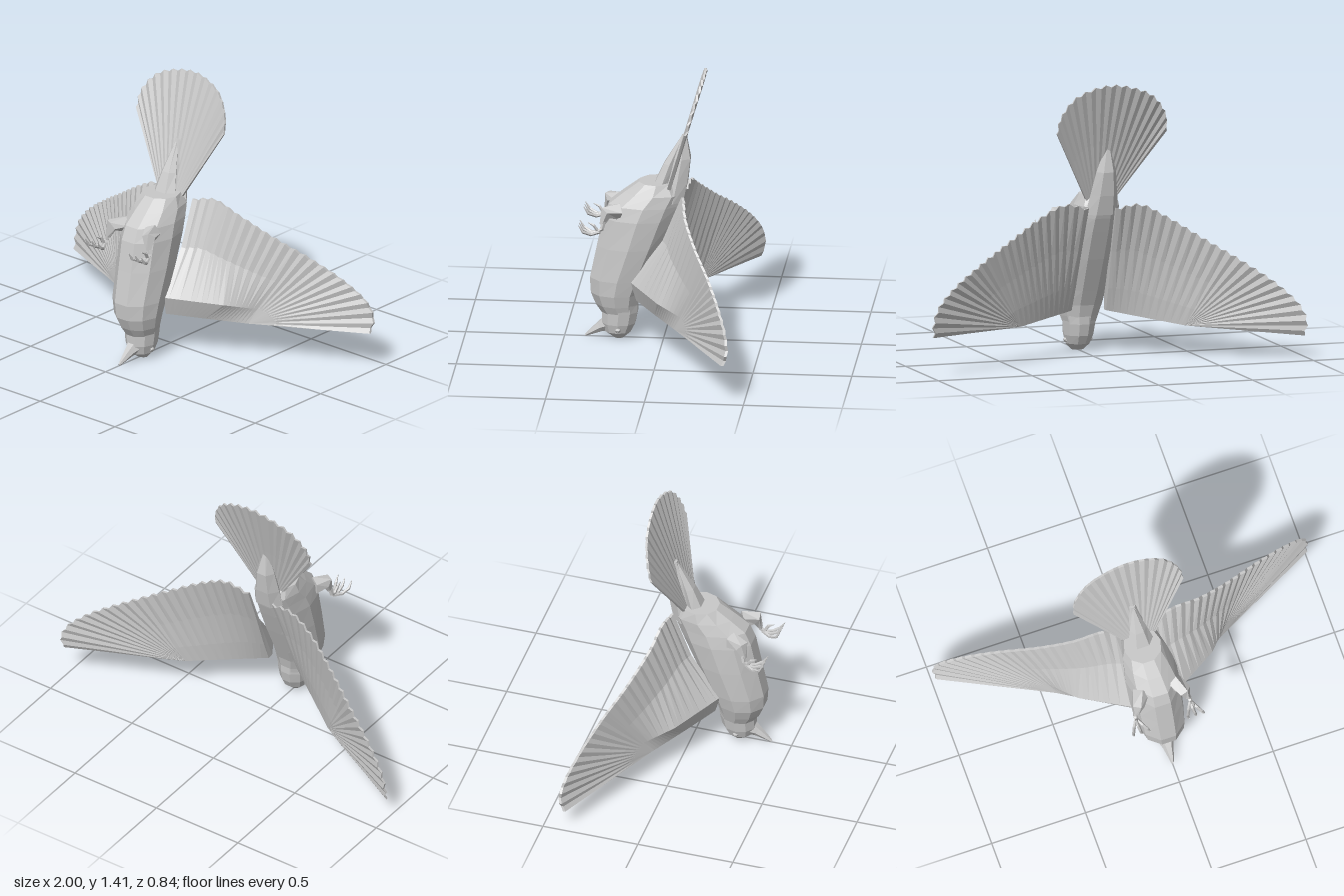
import * as THREE from 'three';

const V = (x, y, z) => new THREE.Vector3(x, y, z);
const plumage = new THREE.MeshStandardMaterial({ color: 0xc8c8c8 });
plumage.name = 'plumage grey';

// Closed faceted solid through rings of equal point count; winding is fixed by signed volume
function loft(name, rings) {
  const tris = [];
  const n = rings[0].length;
  for (let i = 0; i + 1 < rings.length; i++) {
    for (let j = 0; j < n; j++) {
      const k = (j + 1) % n;
      const a = rings[i][j], b = rings[i][k], c = rings[i + 1][k], d = rings[i + 1][j];
      tris.push([a, b, c], [a, c, d]);
    }
  }
  [rings[0], rings[rings.length - 1]].forEach((ring, end) => {
    const mid = ring.reduce((s, p) => s.add(p), V(0, 0, 0)).divideScalar(n);
    for (let j = 0; j < n; j++) {
      const p = ring[j], q = ring[(j + 1) % n];
      tris.push(end ? [mid, p, q] : [mid, q, p]);
    }
  });
  const origin = rings[0][0];
  let volume = 0;
  for (const [a, b, c] of tris) {
    volume += a.clone().sub(origin).dot(b.clone().sub(origin).cross(c.clone().sub(origin)));
  }
  const pts = tris.flatMap(([a, b, c]) => (volume < 0 ? [a, c, b] : [a, b, c]));
  const geo = new THREE.BufferGeometry().setFromPoints(pts);
  geo.computeVertexNormals();
  const mesh = new THREE.Mesh(geo, plumage);
  mesh.name = name;
  return mesh;
}

// Horizontal sections: [y, centre x, half width, front z, back z]
function sections(name, list, sides = 10) {
  return loft(name, list.map(([y, x, w, zf, zb]) => Array.from({ length: sides }, (_, j) => {
    const a = ((j + 0.5) / sides) * Math.PI * 2;
    const stretch = 1 / Math.cos(Math.PI / sides);
    return V(x + w * stretch * Math.sin(a), y, (zf + zb) / 2 + ((zf - zb) / 2) * stretch * Math.cos(a));
  })));
}

// Tapered rod along a path of points
function rod(name, path, radii, sides = 5) {
  return loft(name, path.map((p, i) => {
    const dir = path[Math.min(i + 1, path.length - 1)].clone().sub(path[Math.max(i - 1, 0)]).normalize();
    const u = V(1, 0, 0).addScaledVector(dir, -dir.x).normalize();
    const v = dir.clone().cross(u);
    return Array.from({ length: sides }, (_, j) => {
      const a = (j / sides) * Math.PI * 2;
      return p.clone().addScaledVector(u, radii[i] * Math.cos(a)).addScaledVector(v, radii[i] * Math.sin(a));
    });
  }));
}

// Point at t (0..1) on a polyline with equally weighted spans
function along(list, t) {
  const f = t * (list.length - 1);
  const i = Math.min(Math.floor(f), list.length - 2);
  return list[i].clone().lerp(list[i + 1], f - i);
}

const back = (p, d) => V(p.x, p.y, p.z - d);

function wing(name, right) {
  const arm = [V(0.08, 0.23, 0.13), V(0.25, 0.215, 0.02), V(0.43, 0.2, -0.1)];
  const ridge = [V(0.09, 0.33, 0.16), V(0.35, 0.31, 0.0), V(0.46, 0.28, -0.125)];
  const edge = new THREE.CatmullRomCurve3([
    V(0.06, 0.78, -0.1), V(0.19, 0.81, -0.115), V(0.32, 0.76, -0.135), V(0.5, 0.665, -0.2),
    V(0.7, 0.56, -0.29), V(0.87, 0.455, -0.36), V(0.97, 0.36, -0.4), V(1.0, 0.28, -0.41), V(0.99, 0.21, -0.39),
  ]);
  const place = (p) => (right ? V(-(p.x + 0.025 * (1 - p.x)), p.y - 0.09 * p.x, p.z) : p);
  const rays = 44, rings = [];
  for (let i = 0; i <= rays; i++) {
    const s = i / rays, onArm = Math.min(1, s / 0.5);
    const pleat = i % 2 ? -1 : 1;
    const a = along(arm, onArm);
    const t = edge.getPointAt(s);
    const out = t.clone().sub(a).normalize();
    if (pleat < 0) t.addScaledVector(out, -0.014);
    const b = s < 0.5 ? along(ridge, onArm) : a.clone().lerp(t, 0.2);
    const c = a.clone().lerp(t, 0.58);
    c.z += pleat * 0.003;
    t.z += pleat * 0.005;
    const bBack = back(a.clone().lerp(t, 0.22), 0.03);
    rings.push([a, b, c, t, back(t, 0.013), back(c, 0.02), bBack, back(a, 0.03)].map(place));
  }
  return loft(name, rings);
}

// Pleated tail fan, slightly cupped
function tail() {
  const outline = new THREE.CatmullRomCurve3([
    V(-0.345, 1.16, -0.13), V(-0.335, 1.25, -0.15), V(-0.26, 1.35, -0.18), V(-0.15, 1.4, -0.197),
    V(-0.03, 1.42, -0.203), V(0.08, 1.4, -0.197), V(0.17, 1.35, -0.18), V(0.23, 1.25, -0.15), V(0.24, 1.17, -0.13),
  ]);
  const rays = 32, rings = [];
  for (let i = 0; i <= rays; i++) {
    const s = i / rays, pleat = i % 2 ? -1 : 1;
    const a = V(-0.1 + 0.15 * s, 0.81, -0.02);
    const t = outline.getPointAt(s);
    if (pleat < 0) t.lerp(a, 0.022);
    const c = a.clone().lerp(t, 0.5);
    c.z += pleat * 0.002;
    t.z += pleat * 0.004;
    rings.push([a, c, t, back(t, 0.011), back(c, 0.014), back(a, 0.02)]);
  }
  return loft('tailFan', rings);
}

// Thigh, shank, three front toes and one hind toe
function leg(name, side) {
  const g = new THREE.Group();
  g.name = name;
  const x = (d) => -0.022 + side * d;
  g.add(rod('thigh', [V(x(0.09), 0.7, 0.22), V(x(0.125), 0.7, 0.285), V(x(0.135), 0.64, 0.3)], [0.045, 0.036, 0.014]));
  g.add(rod('shank', [V(x(0.13), 0.69, 0.285), V(x(0.145), 0.62, 0.3), V(x(0.145), 0.605, 0.325)], [0.014, 0.011, 0.01]));
  for (const spread of [-0.04, 0, 0.04]) {
    g.add(rod('toe', [
      V(x(0.145), 0.605, 0.31), V(x(0.145) + spread * 0.6, 0.597, 0.355),
      V(x(0.145) + spread, 0.615, 0.393), V(x(0.145) + spread * 1.05, 0.65, 0.415),
    ], [0.009, 0.009, 0.008, 0.002]));
  }
  g.add(rod('hindToe', [V(x(0.145), 0.61, 0.32), V(x(0.15), 0.64, 0.34), V(x(0.15), 0.655, 0.37)], [0.009, 0.008, 0.002]));
  return g;
}

export function createModel() {
  const bird = new THREE.Group();
  bird.name = 'bird';

  bird.add(sections('body', [
    [0.13, 0, 0.072, 0.3, 0.135], [0.19, -0.003, 0.095, 0.34, 0.13], [0.25, -0.008, 0.112, 0.365, 0.115],
    [0.33, -0.012, 0.122, 0.37, 0.08], [0.5, -0.016, 0.13, 0.335, 0.005], [0.65, -0.02, 0.13, 0.305, -0.057],
    [0.72, -0.022, 0.122, 0.275, -0.085], [0.78, -0.028, 0.11, 0.2, -0.105], [0.835, -0.034, 0.092, 0.125, -0.06],
  ]));
  bird.add(sections('head', [
    [0.013, 0.005, 0.03, 0.25, 0.2], [0.045, 0.004, 0.06, 0.295, 0.165],
    [0.09, 0.002, 0.074, 0.31, 0.142], [0.15, 0, 0.08, 0.31, 0.13], [0.2, 0, 0.085, 0.31, 0.13],
  ]));

  // Beak narrows forward and down from the face
  bird.add(rod('beak', [V(0.003, 0.085, 0.27), V(0.003, 0.062, 0.32), V(0.002, 0.03, 0.37), V(0, 0.013, 0.395)],
    [0.05, 0.028, 0.014, 0.006], 6));
  for (const side of [-1, 1]) {
    const eye = new THREE.Mesh(new THREE.IcosahedronGeometry(0.017, 0), plumage);
    eye.name = side > 0 ? 'leftEye' : 'rightEye';
    eye.position.set(0.003 + side * 0.062, 0.065, 0.225);
    bird.add(eye);
  }

  // Covert feathers over and under the tail root
  bird.add(sections('rumpCoverts', [
    [0.74, -0.026, 0.075, 0.0, -0.1], [0.84, -0.032, 0.062, -0.02, -0.12],
    [0.96, -0.037, 0.045, -0.05, -0.133], [1.08, -0.042, 0.014, -0.09, -0.112],
  ], 6));
  bird.add(sections('underTailCoverts', [
    [0.82, -0.034, 0.06, 0.05, -0.03], [0.93, -0.036, 0.038, 0.0, -0.06], [1.07, -0.04, 0.006, -0.085, -0.1],
  ], 6));

  bird.add(tail(), wing('leftWing', false), wing('rightWing', true));
  bird.add(leg('leftLeg', 1), leg('rightLeg', -1));
  return bird;
}
